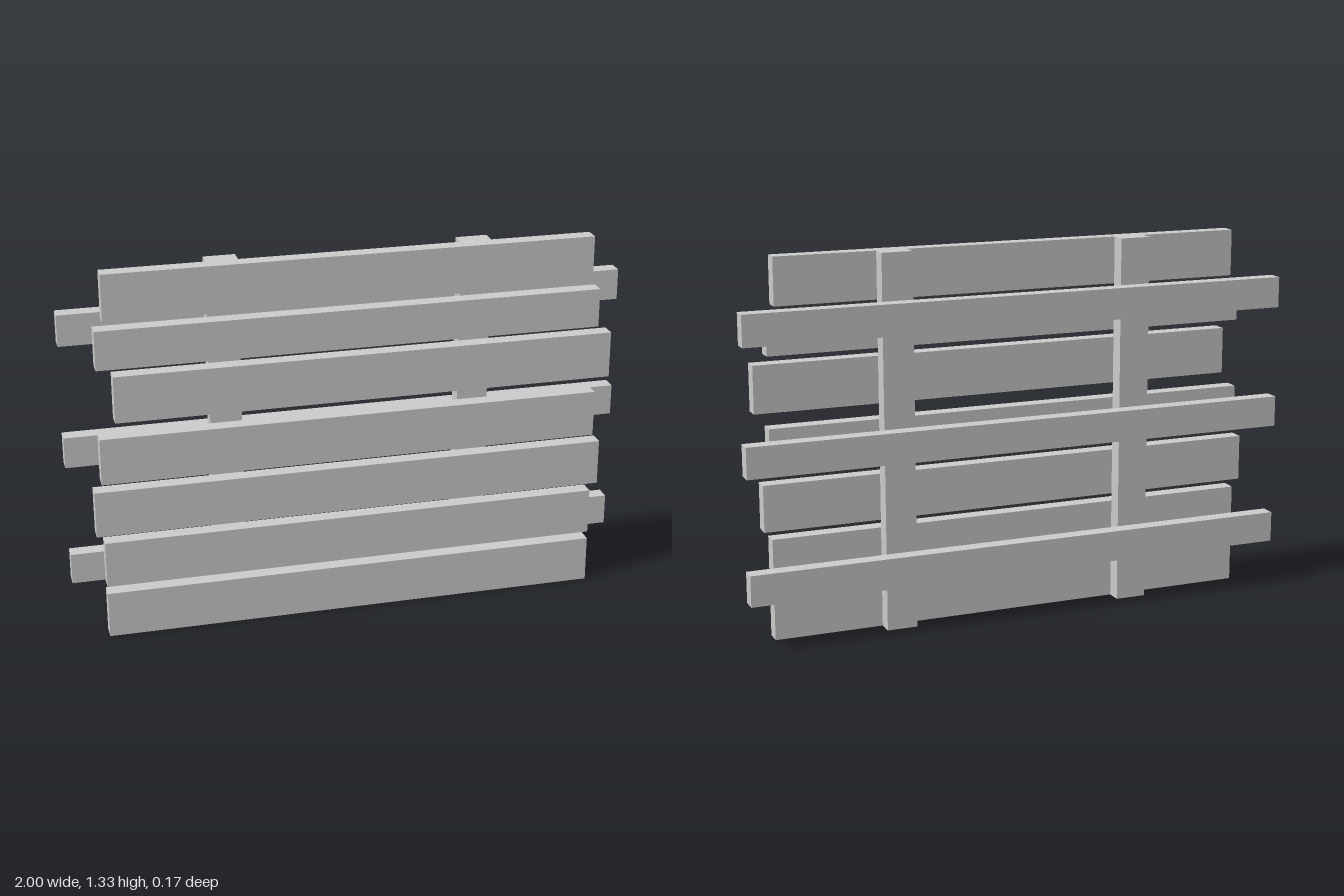
import * as THREE from 'three';

const material = new THREE.MeshStandardMaterial({ color: 0xcccccc });

// Box given by its extents on each axis
function addBeam(parent, name, [x0, x1], [y0, y1], [z0, z1]) {
  const mesh = new THREE.Mesh(new THREE.BoxGeometry(x1 - x0, y1 - y0, z1 - z0), material);
  mesh.position.set((x0 + x1) / 2, (y0 + y1) / 2, (z0 + z1) / 2);
  mesh.name = name;
  parent.add(mesh);
}

export function createModel() {
  const model = new THREE.Group();
  model.name = 'slattedPanel';
  const height = 1.334;
  const half = 0.028; // half the thickness of a beam
  const outer = 0.083;

  // Front planks: left end, right end, bottom, top
  const planks = [
    [-0.89, 0.89, 0, 0.167],
    [-0.89, 0.89, 0.195, 0.362],
    [-0.917, 0.917, 0.39, 0.556],
    [-0.89, 0.89, 0.584, 0.751],
    [-0.834, 0.94, 0.806, 0.973],
    [-0.89, 0.89, 1.0, 1.139],
    [-0.86, 0.86, 1.167, height],
  ];
  planks.forEach(([x0, x1, y0, y1], i) =>
    addBeam(model, `frontPlank${i + 1}`, [x0, x1], [y0, y1], [half, outer]));

  // Two upright posts
  addBeam(model, 'leftPost', [0.389, 0.5], [0, height], [-half, half]);
  addBeam(model, 'rightPost', [-0.5, -0.389], [0, height], [-half, half]);

  // Three long rails across the back
  for (let i = 0; i < 3; i++) {
    const y = 0.168 + i * 0.4445;
    addBeam(model, `backRail${i + 1}`, [-1, 1], [y, y + 0.111], [-outer, -half]);
  }
  return model;
}
